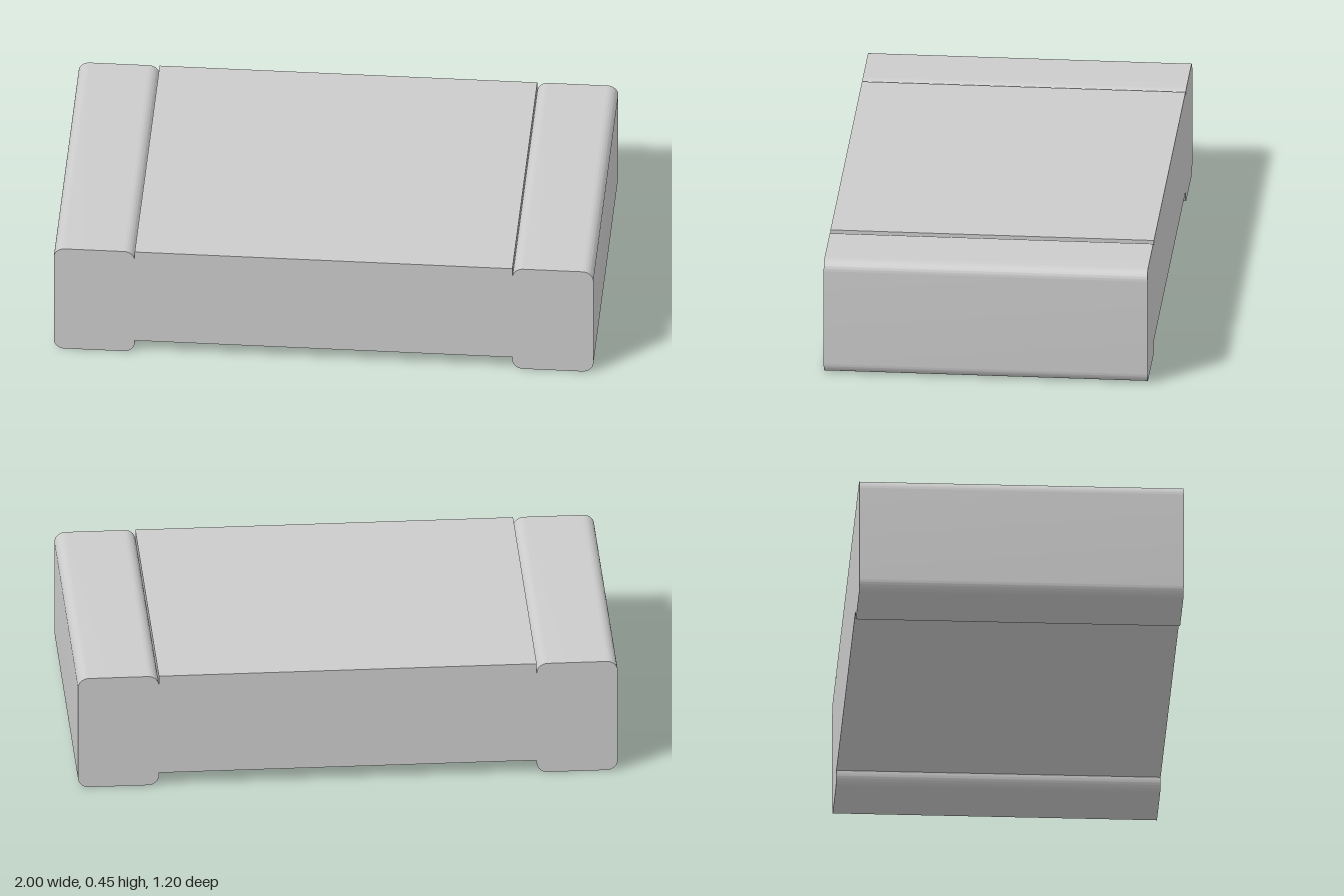
import * as THREE from 'three';
import { toCreasedNormals } from 'three/addons/utils/BufferGeometryUtils.js';

const HEIGHT = 0.45, DEPTH = 1.2, HALF_LENGTH = 1, CAP_START = 0.7, RADIUS = 0.04;

// Rounded rectangle outline in the xy plane
function roundedRect(x0, y0, x1, y1, r) {
  const s = new THREE.Shape();
  s.absarc(x1 - r, y0 + r, r, -Math.PI / 2, 0);
  s.absarc(x1 - r, y1 - r, r, 0, Math.PI / 2);
  s.absarc(x0 + r, y1 - r, r, Math.PI / 2, Math.PI);
  s.absarc(x0 + r, y0 + r, r, Math.PI, Math.PI * 1.5);
  s.closePath();
  return s;
}

export function createModel() {
  const group = new THREE.Group();
  group.name = 'chipComponent';
  const material = new THREE.MeshStandardMaterial({ color: 0xcccccc });

  // Flat slab between the two end caps, raised off the ground
  const bodyBottom = 0.05;
  const body = new THREE.Mesh(
    new THREE.BoxGeometry(CAP_START * 2, HEIGHT - bodyBottom, DEPTH), material);
  body.name = 'body';
  body.position.y = (HEIGHT + bodyBottom) / 2;
  group.add(body);

  // End caps with rounded long edges
  const shape = roundedRect(CAP_START, 0, HALF_LENGTH, HEIGHT, RADIUS);
  let capGeometry = new THREE.ExtrudeGeometry(shape, {
    depth: DEPTH, bevelEnabled: false, curveSegments: 10,
  });
  capGeometry.translate(0, 0, -DEPTH / 2);
  capGeometry = toCreasedNormals(capGeometry, Math.PI / 6);

  for (const side of [1, -1]) {
    const cap = new THREE.Mesh(capGeometry, material);
    cap.name = side > 0 ? 'leftEndCap' : 'rightEndCap';
    if (side < 0) cap.rotation.y = Math.PI;
    group.add(cap);
  }
  return group;
}
